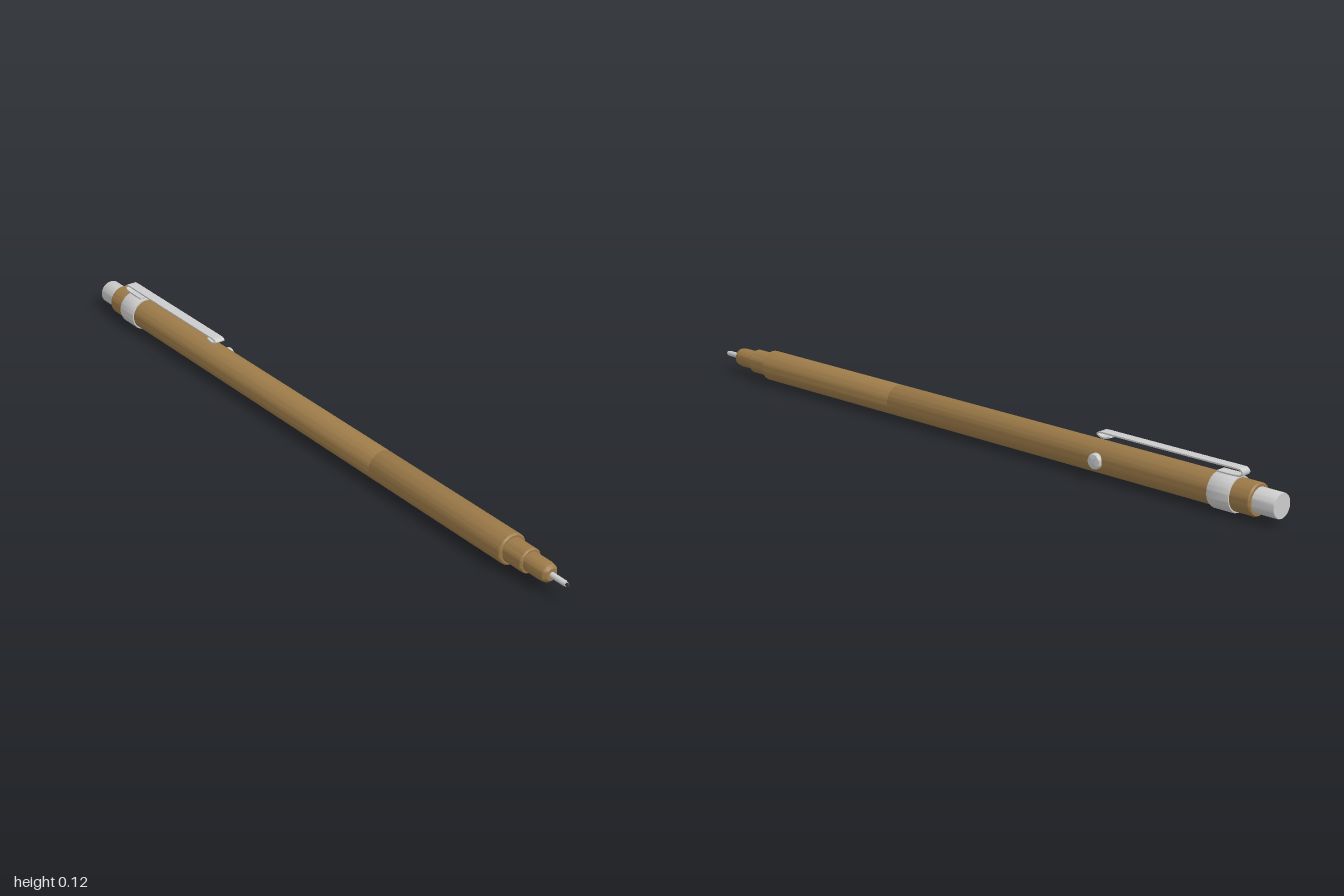
import * as THREE from 'three';
import { toCreasedNormals } from 'three/addons/utils/BufferGeometryUtils.js';

const AXIS_X = -0.003, AXIS_Y = 0.048;
const brass = new THREE.MeshStandardMaterial({ color: 0x9c7a48 });
const steel = new THREE.MeshStandardMaterial({ color: 0xcccccc });
const graphite = new THREE.MeshStandardMaterial({ color: 0x333333 });

// Turned part along z; profile is [radius, z] from back to front
function turned(name, profile, material, segments = 48) {
  const geo = new THREE.LatheGeometry(profile.map(([r, z]) => new THREE.Vector2(r, z)), segments);
  geo.rotateX(Math.PI / 2);
  const mesh = new THREE.Mesh(toCreasedNormals(geo, 0.5), material);
  mesh.name = name;
  return mesh;
}

// Bent strip: a [z, y] centre line given thickness, extruded across x
function strip(name, line, thickness, width, material) {
  const curve = new THREE.CurvePath();
  const pts = line.map(([z, y]) => new THREE.Vector2(z, y));
  const spline = new THREE.SplineCurve(pts);
  const n = 90, upper = [], lower = [];
  for (let i = 0; i <= n; i++) {
    const p = spline.getPoint(i / n), t = spline.getTangent(i / n);
    const off = new THREE.Vector2(-t.y, t.x).multiplyScalar(thickness / 2);
    upper.push(p.clone().add(off));
    lower.unshift(p.clone().sub(off));
  }
  const geo = new THREE.ExtrudeGeometry(new THREE.Shape([...upper, ...lower]), {
    depth: width, bevelEnabled: false,
  });
  geo.rotateY(-Math.PI / 2).translate(width / 2, 0, 0);
  const mesh = new THREE.Mesh(toCreasedNormals(geo, 0.6), material);
  mesh.name = name;
  return mesh;
}

export function createModel() {
  const pen = new THREE.Group();
  pen.name = 'mechanicalPencil';
  const body = new THREE.Group();
  body.name = 'body';
  body.position.set(AXIS_X, AXIS_Y, 0);
  pen.add(body);

  // Barrel in two halves meeting at a fine seam, then the stepped nose
  body.add(
    turned('rearBarrel', [[0, -0.935], [0.039, -0.935], [0.042, -0.931], [0.042, 0.286], [0.0412, 0.288], [0, 0.288]], brass),
    turned('frontBarrel', [[0, 0.288], [0.0412, 0.288], [0.042, 0.29], [0.042, 0.795], [0.038, 0.799], [0, 0.799]], brass),
    turned('noseCollar', [[0.033, 0.79], [0.033, 0.861], [0.03, 0.865], [0, 0.865]], brass),
    turned('noseCone', [[0.026, 0.86], [0.026, 0.918], [0.0235, 0.931], [0.016, 0.939], [0, 0.939]], brass),
  );

  // Lead sleeve with an open bore, and the lead inside
  body.add(
    turned('leadSleeve', [[0.0075, 0.93], [0.0075, 0.984], [0.006, 0.99], [0.004, 0.99], [0.004, 0.97]], steel, 24),
    turned('lead', [[0.0038, 0.96], [0.0038, 0.998], [0.0028, 1], [0, 1]], graphite, 16),
  );

  // Push cap and clip ring
  body.add(
    turned('pushCap', [[0, -1], [0.0315, -1], [0.0325, -0.998], [0.0325, -0.93]], steel),
    turned('clipRing', [[0.041, -0.876], [0.0455, -0.876], [0.047, -0.871], [0.047, -0.815], [0.0455, -0.81], [0.041, -0.81]], steel),
  );

  // Side button on the left of the barrel, axis along x
  const button = turned('sideButton', [[0.0205, 0.03], [0.0205, 0.047], [0.0185, 0.0505], [0.013, 0.052], [0, 0.052]], steel, 32);
  button.rotation.y = Math.PI / 2;
  button.position.z = -0.457;
  body.add(button);

  // Spring clip: foot on the ring, folded back over, curled at the free end
  const clip = strip('clip', [
    [-0.815, 0.0965], [-0.85, 0.0965], [-0.876, 0.0975], [-0.887, 0.1], [-0.891, 0.106], [-0.887, 0.112],
    [-0.875, 0.1145], [-0.8, 0.1145], [-0.65, 0.1145], [-0.5, 0.1145], [-0.45, 0.1145],
    [-0.44, 0.1125], [-0.437, 0.109], [-0.442, 0.105], [-0.455, 0.102], [-0.468, 0.1035], [-0.477, 0.107],
  ], 0.004, 0.029, steel);
  clip.position.x = AXIS_X;
  pen.add(clip);

  return pen;
}
